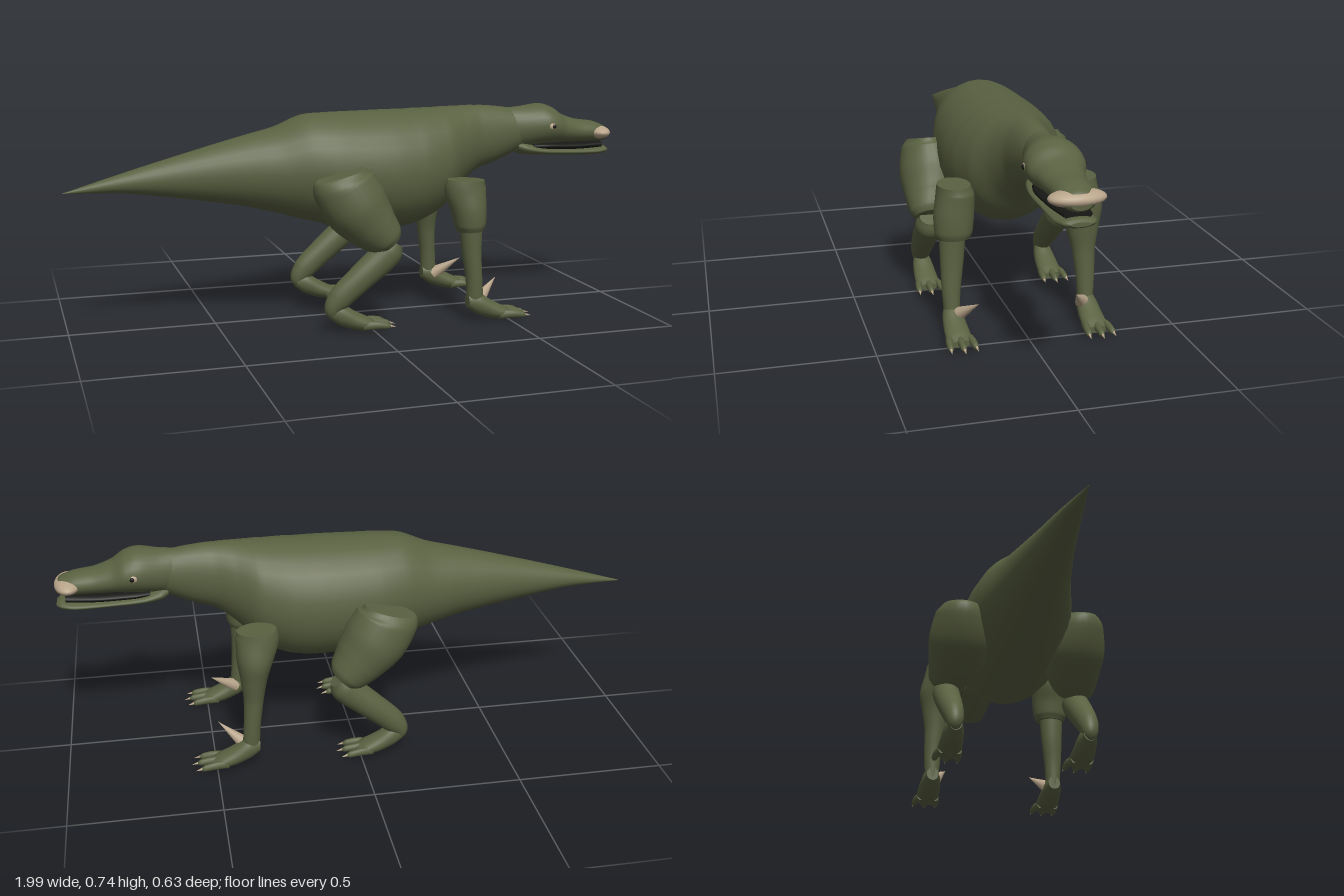
import * as THREE from 'three';

const mat = (name, color, extra = {}) => {
  const m = new THREE.MeshStandardMaterial({ color, ...extra });
  m.name = name;
  return m;
};

// Smooth skin through elliptical rings: [x, y, z, halfWidthZ, halfHeight].
// Rings stand square to the path in the xy plane, or square to x if upright.
function loft(rings, { upright = false, steps = 6, sides = 28 } = {}) {
  const path = new THREE.CatmullRomCurve3(rings.map(r => new THREE.Vector3(r[0], r[1], r[2])), false, 'centripetal');
  const size = new THREE.CatmullRomCurve3(rings.map((r, i) => new THREE.Vector3(r[3], r[4], i * 0.001)), false, 'centripetal');
  const n = (rings.length - 1) * steps;
  const pos = [], idx = [];
  for (let i = 0; i <= n; i++) {
    const p = path.getPoint(i / n), s = size.getPoint(i / n);
    const t = upright ? new THREE.Vector3(1, 0, 0) : path.getTangent(i / n).setZ(0).normalize();
    for (let j = 0; j < sides; j++) {
      const a = j / sides * Math.PI * 2;
      const w = Math.cos(a) * Math.max(s.x, 0.0005), h = Math.sin(a) * Math.max(s.y, 0.0005);
      pos.push(p.x - t.y * h, p.y + t.x * h, p.z + w);
    }
  }
  for (let i = 0; i < n; i++) for (let j = 0; j < sides; j++) {
    const k = (j + 1) % sides, a = i * sides + j, b = i * sides + k;
    idx.push(a, a + sides, b, b, a + sides, b + sides);
  }
  // Flat end caps with their own vertices keep the rims crisp
  for (const end of [0, n]) {
    const base = pos.length / 3, c = path.getPoint(end / n);
    pos.push(...pos.slice(end * sides * 3, (end + 1) * sides * 3), c.x, c.y, c.z);
    for (let j = 0; j < sides; j++) {
      const a = base + j, b = base + (j + 1) % sides;
      idx.push(base + sides, ...(end ? [b, a] : [a, b]));
    }
  }
  const g = new THREE.BufferGeometry();
  g.setAttribute('position', new THREE.Float32BufferAttribute(pos, 3));
  g.setIndex(idx);
  g.computeVertexNormals();
  return g;
}

// Rings given as [x, top, bottom, halfWidth]
const hull = rows => loft(rows.map(([x, t, b, w]) => [x, (t + b) / 2, 0, w, (t - b) / 2]), { upright: true });

export function createModel() {
  const skin = mat('olive skin', 0x5a6141);
  const horn = mat('tan horn', 0xb8a48a);
  const dark = mat('dark mouth', 0x171815);
  const model = new THREE.Group();
  model.name = 'reptile';

  const add = (parent, name, geo, material) => {
    const m = new THREE.Mesh(geo, material);
    m.name = name;
    parent.add(m);
    return m;
  };
  const ball = (parent, name, material, p, r) => {
    const m = add(parent, name, new THREE.SphereGeometry(1, 28, 18), material);
    m.position.set(...p);
    m.scale.set(...r);
  };
  // Cone from a base point to a tip
  const spike = (parent, name, from, to, r) => {
    const a = new THREE.Vector3(...from), d = new THREE.Vector3(...to).sub(a);
    const m = add(parent, name, new THREE.ConeGeometry(r, d.length(), 14), horn);
    m.position.copy(a).addScaledVector(d, 0.5);
    m.quaternion.setFromUnitVectors(new THREE.Vector3(0, 1, 0), d.normalize());
  };

  // Tail, trunk and neck
  add(model, 'body', hull([
    [-1, 0.487, 0.485, 0.001], [-0.8, 0.546, 0.478, 0.035], [-0.6, 0.602, 0.45, 0.067],
    [-0.4, 0.655, 0.415, 0.107], [-0.28, 0.685, 0.385, 0.138], [-0.18, 0.724, 0.355, 0.167],
    [-0.08, 0.73, 0.33, 0.188], [0.1, 0.733, 0.31, 0.198], [0.22, 0.735, 0.322, 0.188],
    [0.32, 0.737, 0.37, 0.158], [0.39, 0.738, 0.445, 0.112], [0.46, 0.738, 0.502, 0.08],
    [0.54, 0.733, 0.53, 0.068], [0.64, 0.718, 0.575, 0.058],
  ]), skin);

  // Head
  const head = new THREE.Group();
  head.name = 'head';
  model.add(head);
  add(head, 'skull', hull([
    [0.57, 0.724, 0.575, 0.05], [0.64, 0.729, 0.578, 0.068], [0.72, 0.737, 0.585, 0.091],
    [0.76, 0.725, 0.588, 0.09], [0.8, 0.698, 0.59, 0.074], [0.86, 0.677, 0.59, 0.063],
    [0.93, 0.667, 0.59, 0.058], [0.975, 0.65, 0.592, 0.048], [0.988, 0.632, 0.6, 0.03],
  ]), skin);
  add(head, 'lowerJaw', hull([
    [0.62, 0.605, 0.565, 0.045], [0.645, 0.602, 0.554, 0.06], [0.7, 0.585, 0.549, 0.066],
    [0.8, 0.574, 0.546, 0.063], [0.93, 0.573, 0.542, 0.062], [0.975, 0.576, 0.546, 0.05], [0.99, 0.567, 0.554, 0.03],
  ]), skin);
  add(head, 'mouth', hull([
    [0.68, 0.597, 0.57, 0.05], [0.74, 0.6, 0.566, 0.062], [0.85, 0.596, 0.562, 0.056], [0.96, 0.596, 0.564, 0.042],
  ]), dark);
  ball(head, 'beak', horn, [0.948, 0.626, 0], [0.046, 0.026, 0.086]);

  // Claws and toes; x is the heel position
  const foot = (limb, x, z) => {
    add(limb, 'foot', loft([
      [x, 0.075, z, 0.022, 0.024], [x + 0.04, 0.064, z, 0.034, 0.04], [x + 0.09, 0.04, z, 0.04, 0.033],
      [x + 0.14, 0.025, z, 0.041, 0.022], [x + 0.165, 0.02, z, 0.032, 0.012],
    ], { upright: true }), skin);
    for (const k of [-1, 0, 1]) {
      const zt = z + k * 0.04, reach = k ? 0 : 0.01;
      add(limb, 'toe', loft([
        [x + 0.11, 0.024, z + k * 0.028, 0.012, 0.016], [x + 0.16, 0.026, z + k * 0.037, 0.012, 0.014],
        [x + 0.195 + reach, 0.022, zt, 0.01, 0.011], [x + 0.207 + reach, 0.02, zt, 0.004, 0.004],
      ], { upright: true, sides: 14 }), skin);
      spike(limb, 'claw', [x + 0.19 + reach, 0.024, zt], [x + 0.226 + reach, 0.016, zt + k * 0.003], 0.008);
    }
  };

  for (const s of [1, -1]) {
    const side = s > 0 ? 'Near' : 'Far';
    const limbLoft = rows => loft(rows.map(([x, y, z, w, h]) => [x, y, z * s, w, h]));

    // Eye with pupil
    ball(head, 'eye', horn, [0.732, 0.66, 0.086 * s], [0.015, 0.013, 0.009]);
    ball(head, 'pupil', dark, [0.736, 0.66, 0.092 * s], [0.008, 0.008, 0.006]);

    // Front leg
    const front = new THREE.Group();
    front.name = 'frontLeg' + side;
    model.add(front);
    const forearm = [
      [0.365, 0.25, 0.225, 0.039, 0.034], [0.374, 0.15, 0.23, 0.031, 0.029], [0.38, 0.06, 0.23, 0.025, 0.03],
    ];
    if (s > 0) {
      add(front, 'upperArm', limbLoft([
        [0.345, 0.503, 0.212, 0.054, 0.066], [0.344, 0.47, 0.208, 0.062, 0.073],
        [0.355, 0.4, 0.215, 0.066, 0.062], [0.36, 0.345, 0.217, 0.062, 0.054], [0.361, 0.325, 0.217, 0.053, 0.045],
      ]), skin);
      add(front, 'forearm', limbLoft([[0.362, 0.36, 0.222, 0.045, 0.04], ...forearm]), skin);
    } else {
      add(front, 'arm', limbLoft([
        [0.345, 0.503, 0.212, 0.054, 0.066], [0.344, 0.47, 0.208, 0.064, 0.073],
        [0.355, 0.4, 0.215, 0.072, 0.062], [0.361, 0.33, 0.22, 0.057, 0.046], ...forearm,
      ]), skin);
    }
    foot(front, 0.35, 0.23 * s);
    spike(front, 'thumbSpike', [0.395, 0.07, 0.218 * s], [0.485, 0.138, 0.163 * s], 0.026);

    // Hind leg
    const hind = new THREE.Group();
    hind.name = 'hindLeg' + side;
    model.add(hind);
    add(hind, 'thigh', limbLoft([
      [-0.105, 0.54, 0.215, 0.06, 0.088], [-0.097, 0.51, 0.21, 0.09, 0.108], [-0.055, 0.435, 0.205, 0.11, 0.112],
      [0, 0.365, 0.21, 0.098, 0.092], [0.045, 0.318, 0.225, 0.073, 0.068], [0.058, 0.303, 0.23, 0.055, 0.052],
    ]), skin);
    add(hind, 'shin', limbLoft([
      [0.075, 0.305, 0.235, 0.036, 0.034], [0.05, 0.268, 0.235, 0.047, 0.052], [-0.04, 0.19, 0.235, 0.043, 0.047],
      [-0.115, 0.122, 0.233, 0.036, 0.042], [-0.14, 0.085, 0.232, 0.028, 0.03], [-0.13, 0.06, 0.232, 0.02, 0.022],
    ]), skin);
    foot(hind, -0.152, 0.23 * s);
  }
  return model;
}
